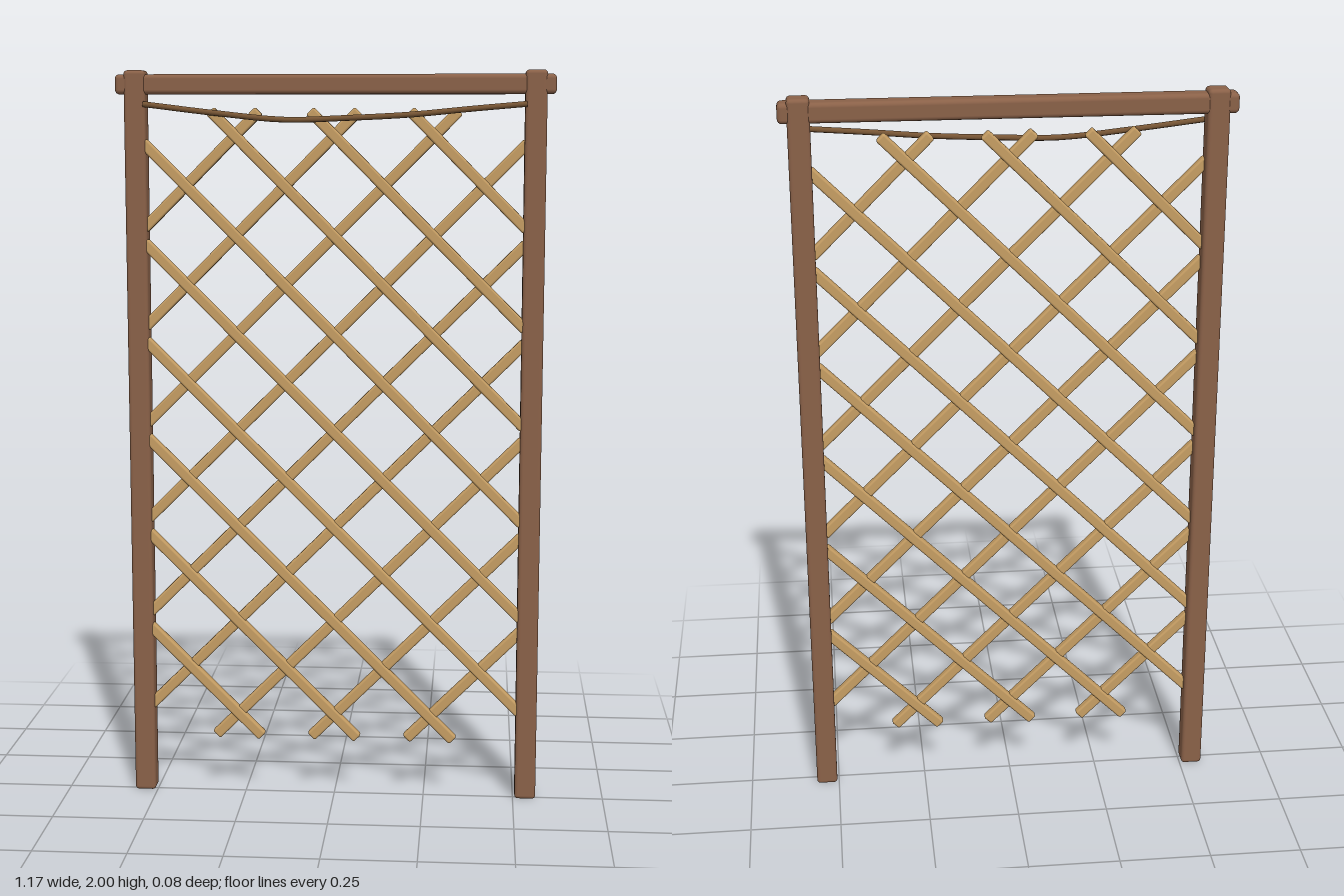
import * as THREE from 'three';
import { RoundedBoxGeometry } from 'three/addons/geometries/RoundedBoxGeometry.js';

const timber = new THREE.MeshStandardMaterial({ color: 0x8a6148 });
timber.name = 'brown timber';
const lath = new THREE.MeshStandardMaterial({ color: 0xc59d63 });
lath.name = 'pale lath';
const cord = new THREE.MeshStandardMaterial({ color: 0x785635 });
cord.name = 'dark cord';

const HALF_W = 0.515, Y_MIN = 0.163, Y_MAX = 1.893; // slats end inside the posts
const SLAT_W = 0.029, SLAT_T = 0.025, SPACING = 0.2667;

function add(group, name, geometry, material, x = 0, y = 0, z = 0) {
  const mesh = new THREE.Mesh(geometry, material);
  mesh.name = name;
  mesh.position.set(x, y, z);
  group.add(mesh);
  return mesh;
}

// One diagonal slat along y = dir * x + c, trimmed to the lattice opening
function addSlat(group, dir, c) {
  const xs = [(Y_MIN - c) / dir, (Y_MAX - c) / dir].sort((a, b) => a - b);
  const x0 = Math.max(-HALF_W, xs[0]), x1 = Math.min(HALF_W, xs[1]);
  if (x1 - x0 < 0.1) return;
  const mid = (x0 + x1) / 2;
  const slat = add(group, dir > 0 ? 'risingSlat' : 'fallingSlat',
    new RoundedBoxGeometry(SLAT_W, (x1 - x0) * Math.SQRT2, SLAT_T, 3, 0.006), lath,
    mid, dir * mid + c, dir > 0 ? -0.004 : 0.003);
  slat.rotation.z = -dir * Math.PI / 4;
}

export function createModel() {
  const model = new THREE.Group();
  model.name = 'trellis';

  // Upright posts and the rail that passes through their tops
  for (const side of [-1, 1]) {
    add(model, side > 0 ? 'leftPost' : 'rightPost',
      new RoundedBoxGeometry(0.058, 2, 0.058, 4, 0.01), timber, side * 0.534, 1, -0.01);
  }
  add(model, 'topRail', new RoundedBoxGeometry(1.174, 0.053, 0.053, 4, 0.012), timber, 0, 1.963, -0.01);

  // Two layers of crossing slats
  const lattice = new THREE.Group();
  lattice.name = 'lattice';
  model.add(lattice);
  for (const dir of [1, -1]) {
    for (let i = -3; i <= 9; i++) addSlat(lattice, dir, 0.228 + i * SPACING);
  }

  // Slack cord hung between the posts
  const points = [
    [-0.51, 1.911, 0.021], [-0.32, 1.888, 0.027], [-0.13, 1.87, 0.032],
    [0.02, 1.874, 0.032], [0.2, 1.883, 0.031], [0.36, 1.898, 0.026], [0.51, 1.911, 0.021],
  ].map(p => new THREE.Vector3(...p));
  add(model, 'hangingCord', new THREE.TubeGeometry(new THREE.CatmullRomCurve3(points), 24, 0.0076, 8), cord);

  return model;
}
